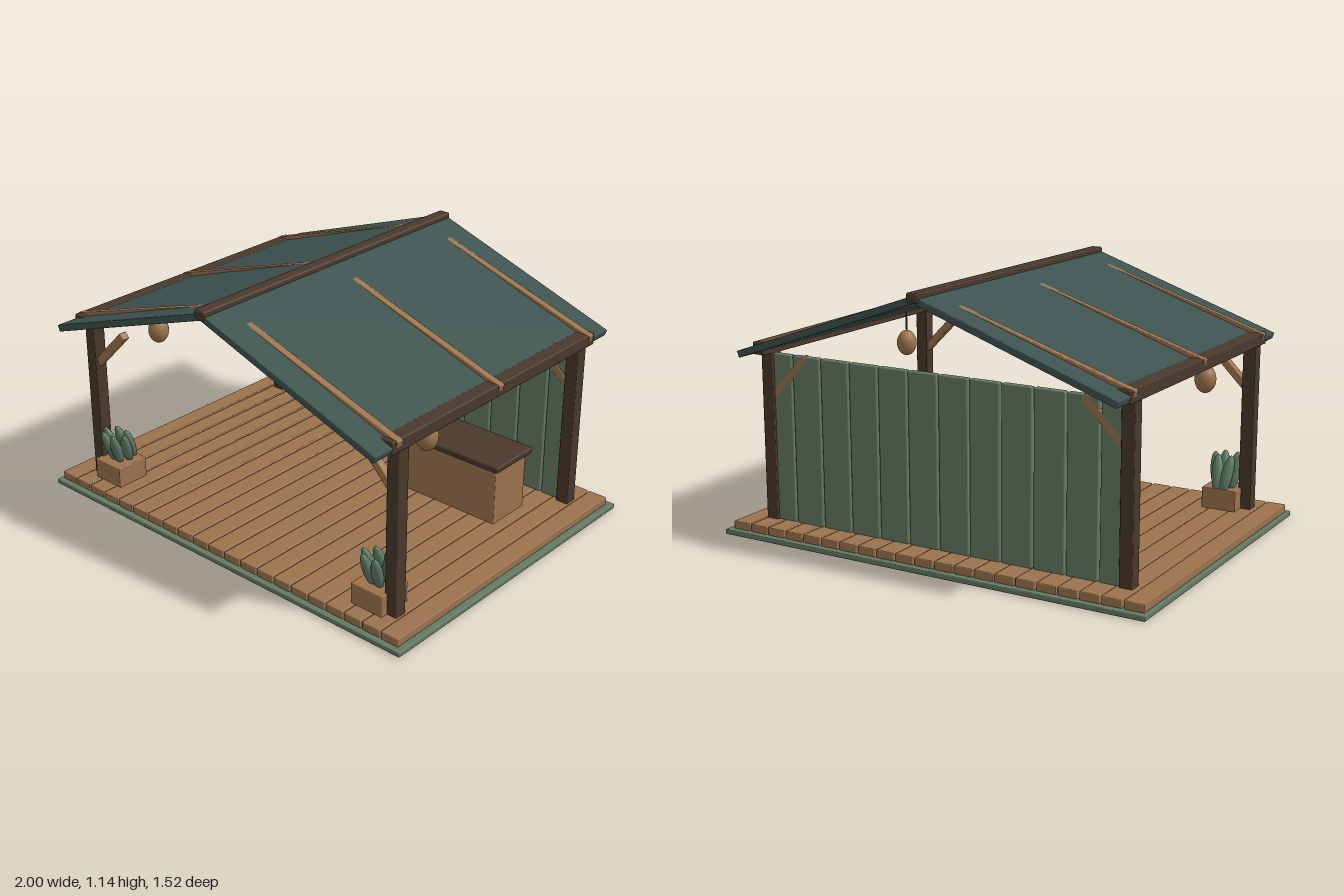
import * as THREE from 'three';
import { RoundedBoxGeometry } from 'three/addons/geometries/RoundedBoxGeometry.js';

export function createModel() {
  const model = new THREE.Group();
  model.name = 'openShelter';
  const material = (name, color, side = THREE.FrontSide) => {
    const m = new THREE.MeshStandardMaterial({ color, side });
    m.name = name;
    return m;
  };
  const wood = material('warm wood', 0x9c734d);
  const dark = material('dark wood', 0x4a382b);
  const green = material('painted green', 0x647a63);
  const roofTeal = material('roof teal', 0x3d534f);
  const leafGreen = material('leaf green', 0x5d7a65);
  const paper = material('paper', 0xcdc6ae, THREE.DoubleSide);

  const add = (name, geometry, mat, x = 0, y = 0, z = 0, parent = model) => {
    const mesh = new THREE.Mesh(geometry, mat);
    mesh.name = name;
    mesh.position.set(x, y, z);
    parent.add(mesh);
    return mesh;
  };
  // Box from its limits, with slightly softened edges
  const block = (name, mat, [x0, x1], [y0, y1], [z0, z1], r = 0.004, parent = model) =>
    add(name, new RoundedBoxGeometry(x1 - x0, y1 - y0, z1 - z0, 1, r), mat,
      (x0 + x1) / 2, (y0 + y1) / 2, (z0 + z1) / 2, parent);
  // Sloping bar between two points in the XY plane
  const strut = (name, mat, [x0, y0], [x1, y1], thick, depth, z, r = 0.004) => {
    const length = Math.hypot(x1 - x0, y1 - y0);
    const mesh = add(name, new RoundedBoxGeometry(length, thick, depth, 1, r), mat,
      (x0 + x1) / 2, (y0 + y1) / 2, z);
    mesh.rotation.z = Math.atan2(y1 - y0, x1 - x0);
    return mesh;
  };
  let seed = 7;
  const random = () => (seed = (seed * 16807) % 2147483647) / 2147483647;

  // Ground slab and deck planks
  block('baseSlab', green, [-1, 1], [0, 0.022], [-0.745, 0.74]);
  const planks = 21, plankStep = 1.965 / planks;
  for (let i = 0; i < planks; i++) {
    const x = -0.984 + i * plankStep;
    block('deckPlank', wood, [x, x + plankStep - 0.008], [0.021, 0.057], [-0.717, 0.715]);
  }

  // Back wall boards
  for (let i = -6; i < 6; i++) {
    const x = i * 0.1455;
    block('wallBoard', green, [x + 0.004, x + 0.1415], [0.055, 0.787], [-0.595, -0.565], 0.006);
  }

  // Frame and roof, mirrored left and right
  for (const s of [-1, 1]) {
    for (const z of [0.585, -0.578]) {
      add('post', new RoundedBoxGeometry(0.058, 0.75, 0.058, 1, 0.004), dark, s * 0.85, 0.43, z);
      strut('brace', wood, [s * 0.835, 0.6], [s * 0.655, 0.78], 0.035, 0.035, z);
    }
    add('sideBeam', new RoundedBoxGeometry(0.064, 0.054, 1.315, 1, 0.006), dark, s * 0.853, 0.813, 0.002);
    strut('roofPanel', roofTeal, [0, 1.109], [s * 0.88, 0.804], 0.03, 1.512, 0);
    for (const z of [-0.625, 0.003, 0.622]) {
      strut('rafter', wood, [0, 1.103], [s * 0.888, 0.819], 0.035, 0.032, z);
    }
  }
  block('ridgeBeam', dark, [-0.028, 0.028], [1.096, 1.137], [-0.763, 0.76], 0.008);

  // Hanging lanterns
  for (const s of [-1, 1]) {
    add('lanternCord', new THREE.CylinderGeometry(0.004, 0.004, 0.12, 8), dark, s * 0.76, 0.79, 0.3);
    const lantern = add('lantern', new THREE.SphereGeometry(0.046, 20, 14), wood, s * 0.76, 0.684, 0.3);
    lantern.scale.y = 1.3;
  }

  // Counter
  block('counterBody', wood, [0.23, 0.74], [0.055, 0.316], [-0.415, -0.2]);
  block('counterTop', dark, [0.21, 0.76], [0.313, 0.342], [-0.437, -0.18], 0.007);

  // Notice board
  block('boardFrame', dark, [-0.73, -0.06], [0.294, 0.684], [-0.565, -0.505], 0.006);
  block('boardPanel', wood, [-0.698, -0.092], [0.326, 0.652], [-0.51, -0.487]);

  // Sheet outline; ragged edges wander in and out
  const sheet = (w, h, ragged) => {
    const corners = [[-w, -h], [w, -h], [w, h], [-w, h]], pts = [], n = 9;
    corners.forEach(([x, y], k) => {
      const [u, v] = corners[(k + 1) % 4];
      for (let i = 0; i < n; i++) {
        const j = () => (random() - 0.5) * ragged;
        pts.push(new THREE.Vector2(x + (u - x) * i / n + j(), y + (v - y) * i / n + j()));
      }
    });
    return new THREE.ExtrudeGeometry(new THREE.Shape(pts), { depth: 0.003, bevelEnabled: false });
  };
  [[-0.59, 0.03, 0.014], [-0.394, 0, 0.002], [-0.208, -0.03, 0.014]].forEach(([x, tilt, ragged]) => {
    const notice = new THREE.Group();
    notice.name = 'notice';
    notice.position.set(x, 0.5, -0.485);
    notice.rotation.z = tilt;
    model.add(notice);
    add('sheet', sheet(0.074, 0.108, ragged), paper, 0, 0, 0, notice);
    [[0.05, 0.105], [0.013, 0.07], [-0.023, 0.09], [-0.056, 0.075]].forEach(([y, w]) =>
      add('writtenLine', new THREE.BoxGeometry(w, 0.007, 0.003), roofTeal, (w - 0.105) / 2, y, 0.004, notice));
    const pin = add('pin', new THREE.SphereGeometry(0.009, 10, 8), dark, 0, 0.083, 0.011, notice);
    pin.scale.z = 0.8;
  });

  // Planters with upright leaves
  for (const s of [-1, 1]) {
    const planter = new THREE.Group();
    planter.name = 'planter';
    planter.position.set(s * 0.755, 0, 0.567);
    model.add(planter);
    block('planterBox', wood, [-0.079, 0.079], [0.055, 0.15], [-0.078, 0.078], 0.004, planter);
    for (let i = 0; i < 6; i++) {
      const a = i * Math.PI / 3;
      const leaf = add('leaf', new THREE.SphereGeometry(1, 14, 10), leafGreen,
        Math.cos(a) * 0.045, 0.21, Math.sin(a) * 0.045, planter);
      leaf.scale.set(0.026, 0.087, 0.022);
      leaf.rotation.set(0.33, 0, -Math.cos(a) * 0.2);
    }
  }
  return model;
}
